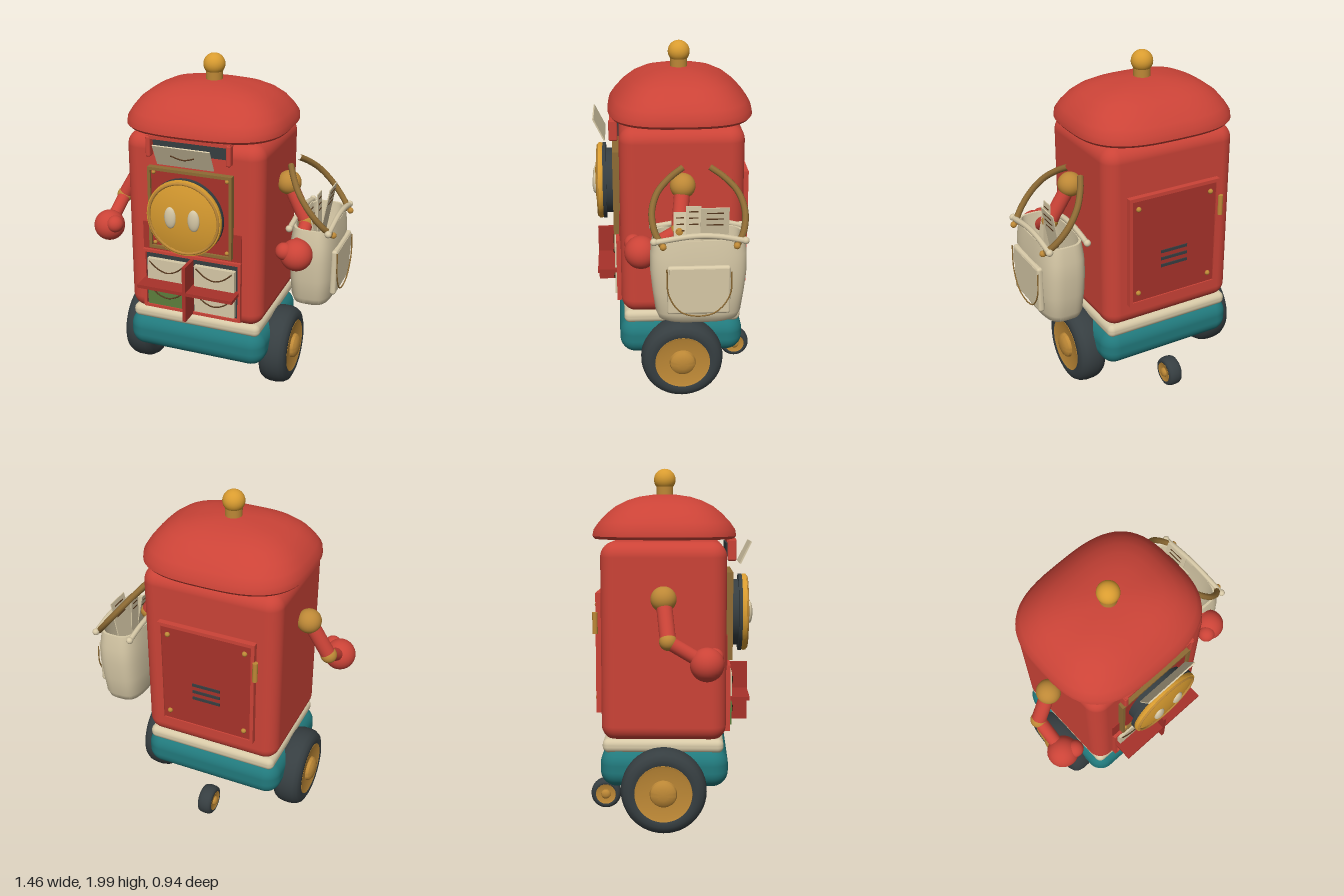
import * as THREE from 'three';
import { toCreasedNormals } from 'three/addons/utils/BufferGeometryUtils.js';
import { RoundedBoxGeometry } from 'three/addons/geometries/RoundedBoxGeometry.js';

const mat = (name, color, side = THREE.FrontSide) => {
  const m = new THREE.MeshStandardMaterial({ color, side });
  m.name = name;
  return m;
};
const M = {
  red: mat('red', 0xcb4337), darkRed: mat('dark red', 0xa8322a), teal: mat('teal', 0x21797c),
  cream: mat('cream', 0xd6c8a6, THREE.DoubleSide), gold: mat('gold', 0xd99c30), brass: mat('brass', 0xbd8836),
  bronze: mat('bronze', 0x8e6b34), charcoal: mat('charcoal', 0x363e41), green: mat('green', 0x5c7d3c),
  brown: mat('brown', 0x57391f),
};
const V = (x, y, z) => new THREE.Vector3(x, y, z);

function add(parent, name, geo, material, x = 0, y = 0, z = 0) {
  const mesh = new THREE.Mesh(geo, material);
  mesh.name = name;
  mesh.position.set(x, y, z);
  parent.add(mesh);
  return mesh;
}
function group(parent, name, x = 0, y = 0, z = 0) {
  const g = new THREE.Group();
  g.name = name;
  g.position.set(x, y, z);
  parent.add(g);
  return g;
}
const box = (w, h, d) => new THREE.BoxGeometry(w, h, d);
const ball = (r) => new THREE.SphereGeometry(r, 28, 18);
const tube = (pts, r) => new THREE.TubeGeometry(new THREE.CatmullRomCurve3(pts), 24, r, 8);
const disc = (r, d) => new THREE.CylinderGeometry(r, r, d, 48).rotateX(Math.PI / 2);
const lathe = (pts) => toCreasedNormals(
  new THREE.LatheGeometry(pts.map((p) => new THREE.Vector2(...p)), 48), 0.6);

// straight rod between two points
function rod(parent, name, a, b, r, material) {
  const m = add(parent, name, new THREE.CylinderGeometry(r, r, a.distanceTo(b), 20), material);
  m.position.copy(a).lerp(b, 0.5);
  m.quaternion.setFromUnitVectors(V(0, 1, 0), b.clone().sub(a).normalize());
  return m;
}

// stacked superellipse rings [y, halfX, halfZ]
function loft(rings, power, crease) {
  const n = 64, pos = [], idx = [];
  const se = (v) => Math.sign(v) * Math.abs(v) ** (2 / power);
  for (const [y, hx, hz] of rings)
    for (let j = 0; j < n; j++) {
      const a = (j / n) * Math.PI * 2;
      pos.push(hx * se(Math.cos(a)), y, hz * se(Math.sin(a)));
    }
  for (let i = 0; i < rings.length - 1; i++)
    for (let j = 0; j < n; j++) {
      const a = i * n + j, c = i * n + (j + 1) % n;
      idx.push(a, a + n, c, c, a + n, c + n);
    }
  const g = new THREE.BufferGeometry();
  g.setAttribute('position', new THREE.Float32BufferAttribute(pos, 3));
  g.setIndex(idx);
  return toCreasedNormals(g, crease);
}

function wheel(parent, name, x, y, z, sr = 1, sw = 1) {
  const g = group(parent, name, x, y, z);
  g.rotation.z = Math.PI / 2;
  g.scale.set(sr, sw, sr);
  const tyre = [[0.15, 0.078], [0.165, 0.085], [0.19, 0.084], [0.215, 0.073], [0.23, 0.05], [0.236, 0.02]];
  const hub = [[0, 0.113], [0.03, 0.111], [0.055, 0.104], [0.07, 0.092], [0.075, 0.075], [0.145, 0.08], [0.157, 0.084], [0.16, 0.075]];
  const both = (half) => [...half.map(([r, h]) => [r, -h]), ...half.slice().reverse()];
  add(g, 'tyre', lathe(both(tyre)), M.charcoal);
  add(g, 'hub', lathe(both(hub)), M.brass);
}

// rectangular border of four bars
function frame(parent, name, w, h, t, d, material, x, y, z) {
  const g = group(parent, name, x, y, z);
  for (const s of [-1, 1]) {
    add(g, 'horizontalBar', box(w, t, d), material, 0, s * (h - t) / 2, 0);
    add(g, 'verticalBar', box(t, h - 2 * t, d), material, s * (w - t) / 2, 0, 0);
  }
}

function buildBody(r) {
  add(r, 'base', new RoundedBoxGeometry(0.85, 0.22, 0.71, 6, 0.09), M.teal, 0, 0.35, -0.022);
  add(r, 'beltBand', new RoundedBoxGeometry(0.795, 0.08, 0.67, 5, 0.035), M.cream, 0, 0.475, -0.028);
  add(r, 'body', new RoundedBoxGeometry(0.82, 1.1, 0.69, 6, 0.085), M.red, 0, 1.05, -0.025);
  const roof = [[1.625, 0, 0], [1.61, 0.43, 0.37], [1.61, 0.455, 0.395], [1.625, 0.467, 0.407], [1.66, 0.464, 0.4],
    [1.7, 0.44, 0.372], [1.75, 0.4, 0.325], [1.79, 0.345, 0.275], [1.82, 0.28, 0.215], [1.842, 0.19, 0.145],
    [1.853, 0.1, 0.07], [1.857, 0, 0]];
  add(r, 'roof', loft(roof, 3, 0.6), M.red, 0, 0, -0.027);
  add(r, 'knobNeck', new THREE.CylinderGeometry(0.048, 0.048, 0.06, 28), M.brass, 0, 1.87, -0.027);
  add(r, 'knob', ball(0.062), M.gold, 0, 1.938, -0.027);
  for (const s of [-1, 1]) wheel(r, 'mainWheel', s * 0.437, 0.243, -0.022);
  wheel(r, 'rearCaster', 0, 0.094, -0.378, 0.375, 0.5);
}

function buildFace(r) {
  add(r, 'lowerFacePlate', box(0.6, 0.165, 0.008), M.darkRed, 0, 0.998, 0.323);
  add(r, 'facePanel', box(0.48, 0.47, 0.025), M.darkRed, 0, 1.182, 0.329);
  frame(r, 'faceFrame', 0.5, 0.49, 0.017, 0.038, M.bronze, 0, 1.182, 0.339);
  for (const sx of [-1, 1]) for (const sy of [-1, 1])
    add(r, 'faceRivet', ball(0.012), M.brass, sx * 0.218, 1.182 + sy * 0.213, 0.342);
  add(r, 'faceNeck', disc(0.19, 0.06), M.charcoal, 0, 1.182, 0.37);
  add(r, 'faceBackRing', disc(0.222, 0.02), M.charcoal, 0, 1.182, 0.405);
  add(r, 'faceDisc', lathe([[0, 0], [0.217, 0], [0.222, 0.01], [0.22, 0.025], [0.2, 0.03], [0.198, 0.024],
    [0.15, 0.036], [0.08, 0.045], [0, 0.048]]).rotateX(Math.PI / 2), M.gold, 0, 1.182, 0.415);
  add(r, 'faceRing', new THREE.TorusGeometry(0.205, 0.008, 8, 48), M.brass, 0, 1.182, 0.442);
  for (const s of [-1, 1])
    add(r, 'eye', ball(1).scale(0.035, 0.063, 0.018), M.cream, s * 0.069, 1.188, 0.459);

  // slot with tilted flap
  add(r, 'slotOpening', box(0.45, 0.075, 0.008), M.charcoal, 0, 1.55, 0.323);
  add(r, 'slotRail', box(0.49, 0.018, 0.05), M.red, 0, 1.603, 0.345);
  for (const s of [-1, 1])
    add(r, 'slotBracket', new RoundedBoxGeometry(0.028, 0.12, 0.05, 3, 0.01), M.red, s * 0.235, 1.55, 0.35);
  const flap = group(r, 'slotFlap', 0, 1.532, 0.43);
  flap.rotation.x = 0.46;
  add(flap, 'flapPlate', box(0.33, 0.138, 0.008), M.cream);
  add(flap, 'flapCurve', tube([V(-0.07, 0.01, 0.005), V(0, -0.012, 0.005), V(0.07, 0.01, 0.005)], 0.004), M.brown);
}

function buildDrawers(r) {
  add(r, 'drawerRecess', box(0.58, 0.35, 0.008), M.charcoal, 0, 0.73, 0.324);
  frame(r, 'drawerFrame', 0.6, 0.37, 0.017, 0.03, M.red, 0, 0.73, 0.33);
  add(r, 'shelf', box(0.58, 0.02, 0.15), M.darkRed, 0, 0.725, 0.378);
  add(r, 'divider', box(0.02, 0.34, 0.15), M.darkRed, 0, 0.72, 0.378);
  for (const sx of [-1, 1]) for (const top of [0, 1]) {
    const d = group(r, 'drawer', sx * 0.145, top ? 0.8 : 0.637, 0.34);
    add(d, 'drawerFront', box(0.245, 0.128, 0.03), !top && sx < 0 ? M.green : M.cream);
    add(d, 'drawerPull', tube([V(-0.11, 0.05, 0.018), V(-0.055, 0.005, 0.018), V(0, -0.012, 0.018),
      V(0.055, 0.005, 0.018), V(0.11, 0.05, 0.018)], 0.004), M.brown);
  }
}

function buildBackDoor(r) {
  add(r, 'backDoor', box(0.54, 0.64, 0.026), M.darkRed, 0, 0.98, -0.382);
  frame(r, 'backDoorFrame', 0.58, 0.67, 0.02, 0.036, M.red, 0, 0.98, -0.385);
  for (const sx of [-1, 1]) for (const y of [0.72, 1.245])
    add(r, 'doorRivet', ball(0.015), M.brass, sx * 0.232, y, -0.397);
  add(r, 'doorHinge', new THREE.CylinderGeometry(0.015, 0.015, 0.12, 16), M.brass, -0.297, 1.15, -0.405);
  for (let i = 0; i < 3; i++)
    add(r, 'ventSlot', box(0.17, 0.017, 0.008), M.charcoal, 0, 0.855 + i * 0.045, -0.397);
}

function buildArm(r, s) {
  const arm = group(r, s > 0 ? 'leftArm' : 'rightArm');
  const shoulder = V(s * 0.457, 1.297, -0.022), elbow = V(s * 0.575, 1.085, 0.005), hand = V(s * 0.58, 0.965, 0.21);
  add(arm, 'shoulder', ball(0.07), M.brass, ...shoulder);
  rod(arm, 'upperArm', shoulder, elbow, 0.043, M.red);
  add(arm, 'elbow', ball(0.047), M.brass, ...elbow);
  rod(arm, 'forearm', elbow, hand, 0.038, M.red);
  add(arm, 'hand', ball(0.091), M.red, ...hand);
  add(arm, 'thumb', ball(0.05), M.red, s * 0.522, 0.995, 0.25);
}

function buildBag(root) {
  const bag = group(root, 'bag', 0.567, 0, -0.095);
  add(bag, 'bagBody', loft([[0.6, 0, 0], [0.602, 0.085, 0.18], [0.62, 0.108, 0.215], [0.66, 0.12, 0.232], [0.78, 0.13, 0.248],
    [0.9, 0.133, 0.26], [1.0, 0.13, 0.258], [1.09, 0.118, 0.242], [1.09, 0.105, 0.228], [0.85, 0.1, 0.2],
    [0.68, 0.07, 0.14], [0.67, 0, 0]], 3.4, 0.7), M.cream);
  for (const s of [-1, 1]) {
    add(bag, 'rimBar', tube([V(s * 0.112, 1.085, -0.24), V(s * 0.112, 1.112, -0.1), V(s * 0.112, 1.116, 0.03),
      V(s * 0.112, 1.085, 0.24)], 0.016), M.cream);
    for (const e of [-1, 1]) add(bag, 'rimKnob', ball(0.02), M.cream, s * 0.112, 1.087, e * 0.24);
    add(bag, 'handleRivet', ball(0.018), M.brass, 0.13, 1.065, s * 0.193);
    // carrying strap rising toward the shoulder
    add(bag, 'strap', tube([V(0.122, 1.065, s * 0.193), V(0.075, 1.12, s * 0.232), V(0.0, 1.21, s * 0.247),
      V(-0.07, 1.295, s * 0.215), V(-0.125, 1.36, s * 0.145), V(-0.162, 1.402, s * 0.075)], 0.018), M.bronze);
  }
  // side pocket with hanging cord
  add(bag, 'pocket', new RoundedBoxGeometry(0.035, 0.275, 0.335, 4, 0.015), M.cream, 0.134, 0.82, 0.005);
  add(bag, 'pocketFlap', box(0.008, 0.11, 0.31), M.cream, 0.15, 0.89, 0.005);
  add(bag, 'pocketCord', tube([V(0.154, 0.95, 0.175), V(0.157, 0.8, 0.165), V(0.157, 0.7, 0.1), V(0.157, 0.675, 0),
    V(0.157, 0.7, -0.09), V(0.157, 0.8, -0.16), V(0.154, 0.93, -0.165)], 0.004), M.bronze);

  // papers poking out: [z, top height, tilt, width]
  for (const [z, top, tilt, w] of [[0.095, 1.2, 0.2, 0.07], [0.025, 1.24, 0.04, 0.08], [-0.085, 1.25, -0.17, 0.15]]) {
    const paper = group(bag, 'paper', 0.005, 1.0, z);
    paper.rotation.z = tilt;
    add(paper, 'sheet', box(0.006, top - 0.85, w), M.cream, 0, (top - 1.15) / 2, 0);
    for (let i = 0; i < 3; i++)
      add(paper, 'inkLine', box(0.012, 0.006, w * 0.6), M.brown, 0, top - 1.03 - i * 0.035, 0);
  }
}

export function createModel() {
  const root = new THREE.Group();
  root.name = 'robot';
  const r = group(root, 'chassis', -0.06);
  buildBody(r);
  buildFace(r);
  buildDrawers(r);
  buildBackDoor(r);
  for (const s of [-1, 1]) buildArm(r, s);
  buildBag(root);
  return root;
}
